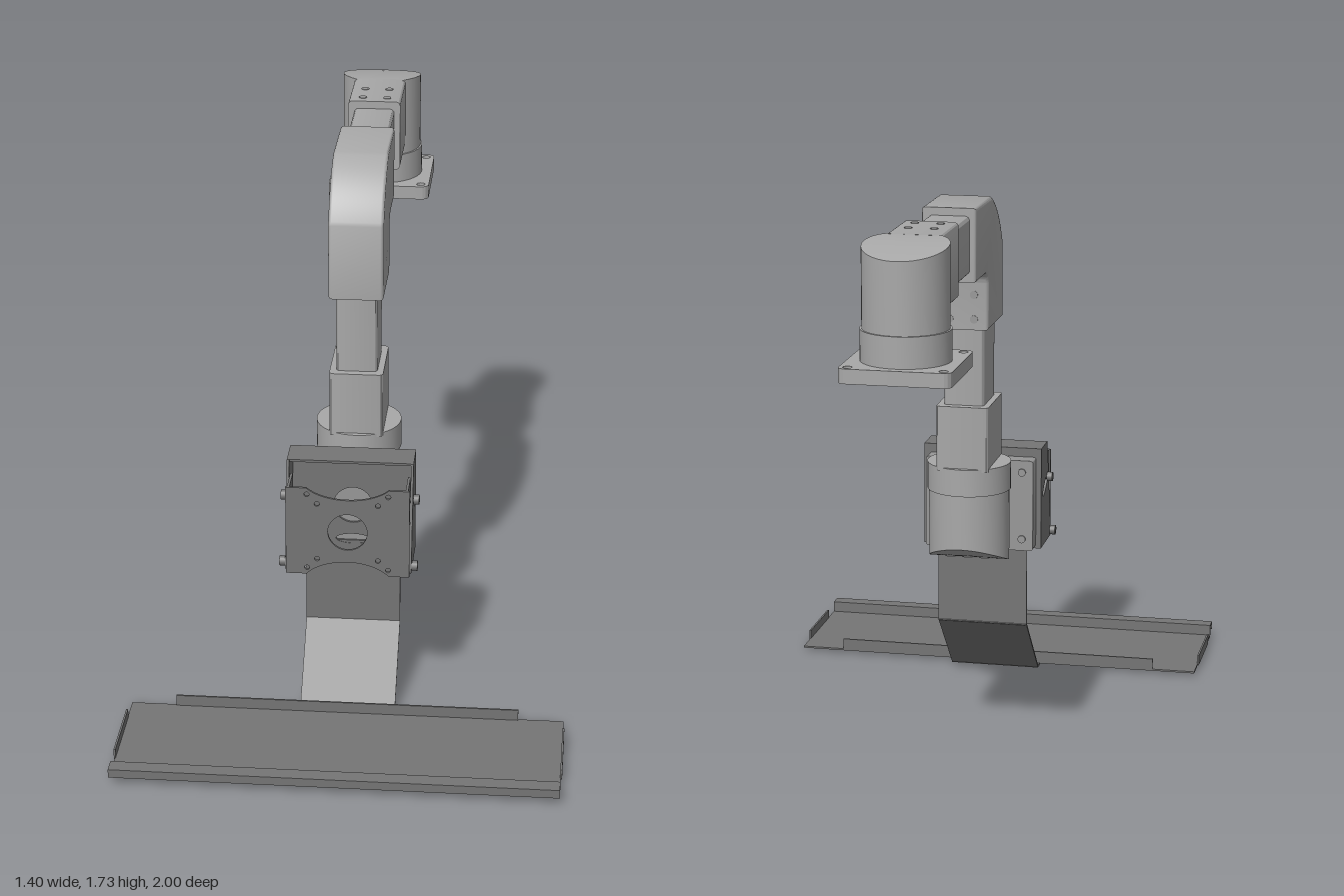
import * as THREE from 'three';
import { toCreasedNormals } from 'three/addons/utils/BufferGeometryUtils.js';

const material = (name, color) => {
  const m = new THREE.MeshStandardMaterial({ color });
  m.name = name;
  return m;
};

export function createModel() {
  const model = new THREE.Group();
  model.name = 'keyboardSupportArm';
  const armGrey = material('armGrey', 0xa8a8a8);
  const plateGrey = material('plateGrey', 0x989898);
  const sheetGrey = material('sheetGrey', 0x757575);

  const add = (name, geometry, mat, x = 0, y = 0, z = 0) => {
    const mesh = new THREE.Mesh(geometry, mat);
    mesh.name = name;
    mesh.position.set(x, y, z);
    model.add(mesh);
    return mesh;
  };
  const box = (name, mat, w, h, d, x, y, z) => add(name, new THREE.BoxGeometry(w, h, d), mat, x, y, z);
  const polygon = (pts) => new THREE.Shape(pts.map(([a, b]) => new THREE.Vector2(a, b)));
  const hole = (shape, x, y, rx, ry = rx, rot = 0) => {
    const p = new THREE.Path();
    p.absellipse(x, y, rx, ry, 0, Math.PI * 2, true, rot);
    shape.holes.push(p);
  };
  const extrude = (shape, depth, bevel = 0) => {
    const g = new THREE.ExtrudeGeometry(shape, {
      depth: depth - 2 * bevel, curveSegments: 20, bevelEnabled: bevel > 0,
      bevelSize: bevel, bevelThickness: bevel, bevelOffset: -bevel, bevelSegments: 3,
    });
    g.translate(0, 0, -depth / 2 + bevel);
    return toCreasedNormals(g, 0.6);
  };
  // Shapes drawn as (z, y), extruded across x
  const extrudeAcross = (shape, depth, bevel) => extrude(shape, depth, bevel).rotateY(-Math.PI / 2);
  const roundedRect = (w, h, r) => {
    const s = new THREE.Shape(), a = w / 2, b = h / 2;
    s.absarc(a - r, b - r, r, 0, Math.PI / 2);
    s.absarc(-a + r, b - r, r, Math.PI / 2, Math.PI);
    s.absarc(-a + r, -b + r, r, Math.PI, Math.PI * 1.5);
    s.absarc(a - r, -b + r, r, Math.PI * 1.5, Math.PI * 2);
    return s;
  };
  const lathe = (pts, rule) => {
    const g = new THREE.LatheGeometry(pts.map(([r, y]) => new THREE.Vector2(r, y)), 48);
    const p = g.attributes.position;
    for (let i = 0; i < p.count; i++) p.setY(i, rule(p.getY(i), p.getZ(i)));
    return toCreasedNormals(g, 0.6);
  };
  // Flat strips joining points given as (z, y)
  const foldedSheet = (name, pts, width, t) => {
    for (let i = 1; i < pts.length; i++) {
      const [z0, y0] = pts[i - 1], [z1, y1] = pts[i];
      const len = Math.hypot(z1 - z0, y1 - y0);
      const strip = box(name, sheetGrey, width, t, len + t, 0, (y0 + y1) / 2, (z0 + z1) / 2);
      strip.rotation.x = -Math.atan2(y1 - y0, z1 - z0);
    }
  };

  // Ceiling flange with bolt holes and open centre
  const flange = roundedRect(0.34, 0.33, 0.025);
  hole(flange, 0, 0, 0.105);
  for (const x of [-0.143, 0.143]) for (const y of [-0.138, 0.138]) hole(flange, x, y, 0.014);
  add('baseFlange', extrude(flange, 0.045).rotateX(-Math.PI / 2), armGrey, 0, 1.352, -0.835);

  // Hollow swivel column with a sloping cap
  add('baseColumn', lathe([
    [0, 1.45], [0.085, 1.45], [0.085, 1.41], [0.105, 1.41], [0.105, 1.335], [0.137, 1.335],
    [0.137, 1.47], [0.131, 1.47], [0.131, 1.73], [0.1, 1.73], [0.06, 1.73], [0, 1.73],
  ], (y, z) => (y > 1.72 ? y - 0.04 * (Math.max(0, 0.1 - z) / 0.23) ** 1.5 : y)), armGrey, 0, 0, -0.835);

  // Sockets and square tubes
  add('baseSocket', extrude(roundedRect(0.172, 0.235, 0.015), 0.24), armGrey, 0, 1.6125, -0.62);
  add('horizontalTube', extrude(roundedRect(0.132, 0.185, 0.015), 0.3), armGrey, 0, 1.6125, -0.375);
  add('verticalTube', extrude(roundedRect(0.132, 0.185, 0.015), 0.3).rotateX(-Math.PI / 2), armGrey, 0, 1.18, 0.066);
  add('lowerSocket', extrude(roundedRect(0.172, 0.24, 0.015), 0.215).rotateX(-Math.PI / 2), armGrey, 0, 0.9425, 0.065);

  // Elbow
  const elbow = new THREE.Shape();
  elbow.moveTo(0.185, 1.305);
  elbow.lineTo(0.185, 1.55);
  elbow.bezierCurveTo(0.15, 1.63, 0.09, 1.695, 0, 1.73);
  elbow.lineTo(-0.245, 1.73);
  elbow.lineTo(-0.245, 1.495);
  elbow.lineTo(-0.1, 1.495);
  elbow.quadraticCurveTo(-0.055, 1.495, -0.055, 1.45);
  elbow.lineTo(-0.055, 1.305);
  elbow.closePath();
  add('elbow', extrudeAcross(elbow, 0.174, 0.01), armGrey);

  // Lower swivel joint with a curved underside
  add('lowerJoint', lathe([
    [0, 0.5], [0.05, 0.5], [0.1, 0.5], [0.132, 0.5], [0.132, 0.755], [0.137, 0.755],
    [0.137, 0.845], [0, 0.845],
  ], (y, z) => (y < 0.6 ? 0.495 + 0.08 * (Math.max(0, 0.135 - z) / 0.267) ** 2 : y)), armGrey, 0, 0, 0.065);
  box('jointBlock', armGrey, 0.174, 0.24, 0.13, 0, 0.622, 0.165);

  // Mounting plate
  add('mountPlate', extrude(roundedRect(0.365, 0.31, 0.01), 0.055), plateGrey, 0, 0.655, 0.2525);

  // Bolt heads
  const bolt = (x, y, z, axis) => {
    const g = new THREE.CylinderGeometry(0.013, 0.013, 0.008, 16);
    if (axis === 'z') g.rotateX(Math.PI / 2);
    add('boltHead', g, plateGrey, x, y, z);
  };
  for (const x of [-0.04, 0.04]) {
    for (const z of [-0.54, -0.63]) bolt(x, 1.728, z, 'y');
    for (const z of [-0.135, -0.205]) bolt(x, 1.497, z, 'y');
    for (const y of [1.34, 1.42]) bolt(x, y, -0.053, 'z');
  }
  for (const x of [-0.145, 0.145]) for (const y of [0.54, 0.77]) bolt(x, y, 0.223, 'z');

  // Rear tilt bracket
  const rearPlate = polygon([[-0.2, 0.495], [0.2, 0.495], [0.2, 0.84], [-0.2, 0.84]]);
  hole(rearPlate, 0, 0.64, 0.062);
  hole(rearPlate, 0, 0.52, 0.055, 0.017);
  add('rearBracketBack', extrude(rearPlate, 0.008), sheetGrey, 0, 0, 0.284);
  box('rearBracketTop', sheetGrey, 0.4, 0.008, 0.107, 0, 0.836, 0.3335);

  // Front tilt bracket with scooped edges and fixing holes
  const face = new THREE.Shape();
  face.moveTo(-0.195, 0.49);
  face.lineTo(-0.13, 0.49);
  face.bezierCurveTo(-0.07, 0.55, 0.07, 0.55, 0.13, 0.49);
  face.lineTo(0.195, 0.49);
  face.lineTo(0.195, 0.79);
  face.lineTo(0.13, 0.79);
  face.bezierCurveTo(0.07, 0.738, -0.07, 0.738, -0.13, 0.79);
  face.lineTo(-0.195, 0.79);
  face.closePath();
  hole(face, 0, 0.64, 0.062);
  for (const sx of [-1, 1]) for (const sy of [-1, 1]) {
    hole(face, sx * 0.128, 0.64 + sy * 0.128, 0.008);
    hole(face, sx * 0.096, 0.64 + sy * 0.096, 0.008);
  }
  add('frontBracketFace', extrude(face, 0.008), sheetGrey, 0, 0, 0.481);

  // Bracket cheeks and tilt screws, mirrored
  const rearCheek = polygon([[0.28, 0.495], [0.468, 0.495], [0.39, 0.84], [0.28, 0.84]]);
  hole(rearCheek, 0.355, 0.695, 0.052, 0.015, 0.55);
  const frontCheek = polygon([[0.43, 0.49], [0.485, 0.49], [0.485, 0.79], [0.38, 0.79], [0.38, 0.7]]);
  for (const s of [-1, 1]) {
    add('rearBracketCheek', extrudeAcross(rearCheek, 0.008), sheetGrey, s * 0.196);
    add('frontBracketCheek', extrudeAcross(frontCheek, 0.008), sheetGrey, s * 0.186);
    for (const [y, z] of [[0.718, 0.39], [0.515, 0.45]]) {
      add('tiltScrew', new THREE.CylinderGeometry(0.016, 0.016, 0.018, 16).rotateZ(Math.PI / 2), sheetGrey, s * 0.21, y, z);
      add('tiltScrewShank', new THREE.CylinderGeometry(0.009, 0.009, 0.06, 12).rotateZ(Math.PI / 2), sheetGrey, s * 0.19, y, z);
    }
  }

  // Bent tray hanger
  foldedSheet('trayHanger', [[0.283, 0.51], [0.283, 0.225], [0.5, 0.005], [0.945, 0.005]], 0.305, 0.007);
  add('swivelRing', new THREE.TorusGeometry(0.045, 0.003, 6, 32).rotateX(Math.PI / 2), sheetGrey, 0, 0.003, 0.74);

  // Keyboard tray with folded edges
  box('trayBase', sheetGrey, 1.39, 0.006, 0.43, 0, 0.012, 0.737);
  foldedSheet('trayFrontLip', [[0.95, 0.012], [0.95, 0.048], [0.995, 0.048], [0.995, 0.026]], 1.39, 0.006);
  box('trayRearFlange', sheetGrey, 1.1, 0.042, 0.006, 0, 0.03, 0.525);
  for (const s of [-1, 1]) box('traySideFlange', sheetGrey, 0.006, 0.035, 0.25, s * 0.696, 0.0265, 0.74);

  return model;
}
